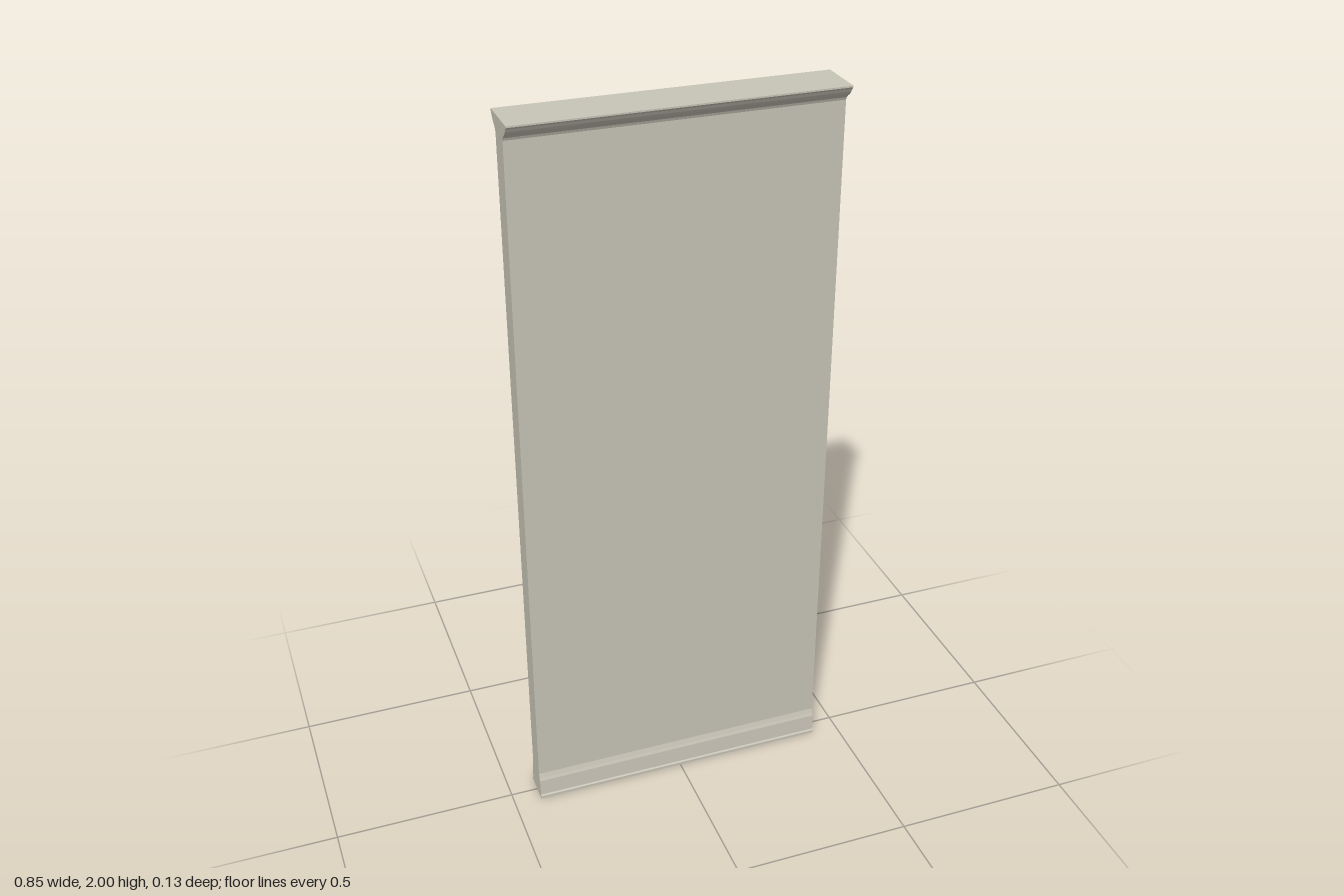
import * as THREE from 'three';

const WIDTH = 0.848;
const HALF = 0.031; // half thickness of the wall

// Mirrors a half profile [z, y] (bottom to top) and extrudes it along x
function extrudeProfile(name, half, material) {
  const mirrored = half.map(([z, y]) => [-z, y]).reverse();
  const shape = new THREE.Shape([...half, ...mirrored].map(([z, y]) => new THREE.Vector2(z, y)));
  const geometry = new THREE.ExtrudeGeometry(shape, { depth: WIDTH, bevelEnabled: false });
  geometry.translate(0, 0, -WIDTH / 2);
  geometry.rotateY(Math.PI / 2);
  const mesh = new THREE.Mesh(geometry, material);
  mesh.name = name;
  return mesh;
}

export function createModel() {
  const group = new THREE.Group();
  group.name = 'wallPanel';
  const plaster = new THREE.MeshStandardMaterial({ color: 0xc8c4b7 });
  plaster.name = 'warm grey plaster';

  // Skirting with a small foot and a tapering top
  const skirting = [
    [0.044, 0], [0.044, 0.008], [0.041, 0.012], [0.038, 0.06],
    [0.035, 0.068], [0.033, 0.075], [HALF, 0.082],
  ];
  // Flat wall
  const wall = [[HALF, 0.082], [HALF, 1.955]];
  // Crown moulding flaring out to the flat top
  const crown = [
    [HALF, 1.955], [0.034, 1.962], [0.04, 1.968], [0.05, 1.975],
    [0.057, 1.983], [0.062, 1.991], [0.067, 1.996], [0.067, 2],
  ];

  group.add(
    extrudeProfile('skirting', skirting, plaster),
    extrudeProfile('wall', wall, plaster),
    extrudeProfile('crownMoulding', crown, plaster),
  );
  return group;
}
